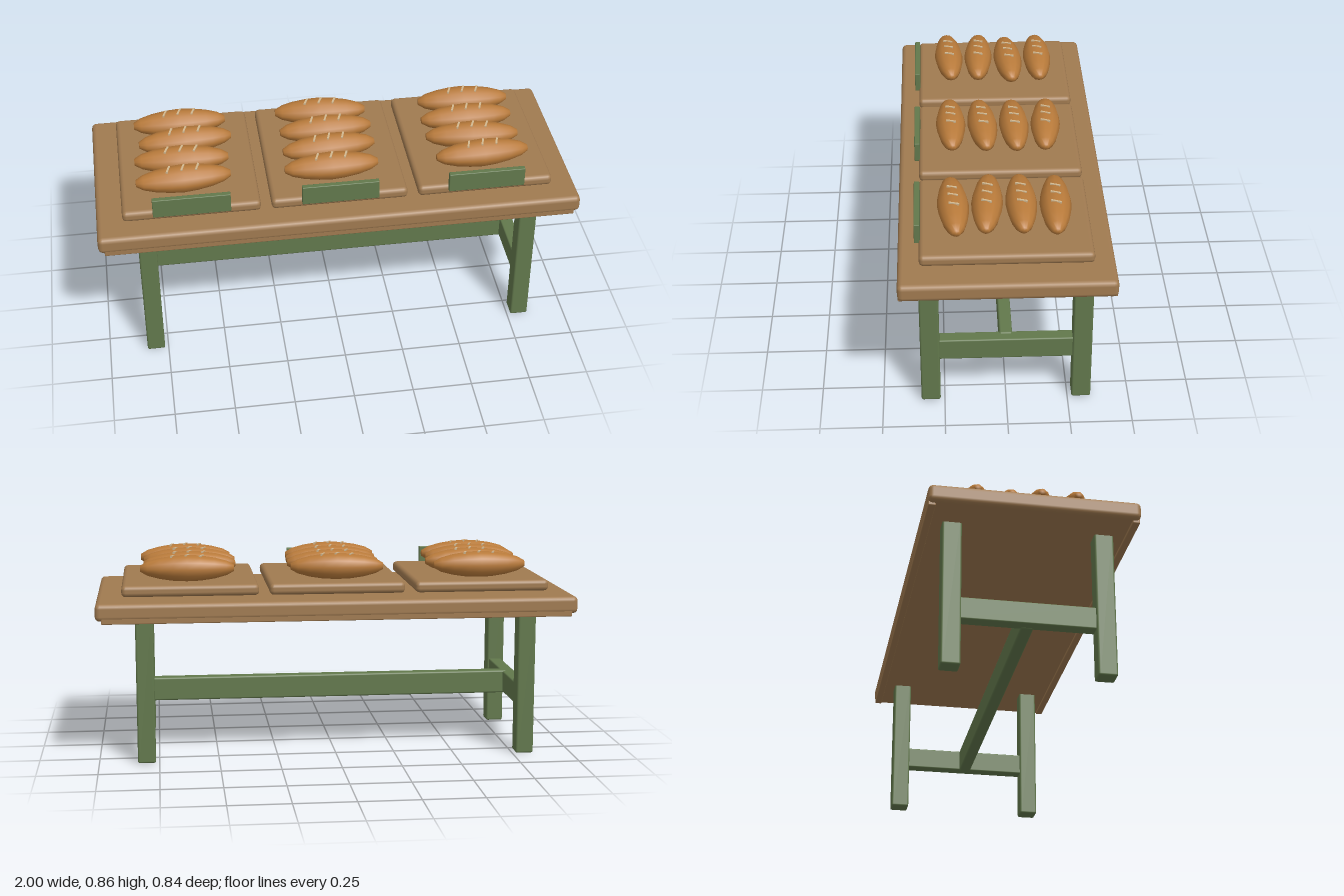
import * as THREE from 'three';
import { RoundedBoxGeometry } from 'three/addons/geometries/RoundedBoxGeometry.js';

const mat = (name, color) => {
  const m = new THREE.MeshStandardMaterial({ color });
  m.name = name;
  return m;
};

export function createModel() {
  const group = new THREE.Group();
  group.name = 'breadTable';
  const wood = mat('wood', 0xa07a50);
  const green = mat('greenPaint', 0x62784c);
  const crust = mat('crust', 0xb87a3a);
  const flour = mat('flouredScore', 0xd2b890);

  // Soft-edged box given by its extents on each axis
  const box = (name, material, [x0, x1], [y0, y1], [z0, z1], r) => {
    const g = new RoundedBoxGeometry(x1 - x0, y1 - y0, z1 - z0, 2, r);
    const m = new THREE.Mesh(g, material);
    m.position.set((x0 + x1) / 2, (y0 + y1) / 2, (z0 + z1) / 2);
    m.name = name;
    group.add(m);
    return m;
  };

  // Table top with a lip under the front and back edges
  box('tableTop', wood, [-1, 1], [0.613, 0.685], [-0.422, 0.422], 0.02);
  for (const s of [-1, 1]) {
    const z = s > 0 ? [0.39, 0.42] : [-0.42, -0.39];
    box('edgeLip', wood, [-0.975, 0.975], [0.602, 0.63], z, 0.004);
  }

  // Trestle ends and long stretcher
  for (const s of [-1, 1]) {
    const x = s > 0 ? [0.765, 0.84] : [-0.84, -0.765];
    box('leg', green, x, [0, 0.62], [0.267, 0.345], 0.008);
    box('leg', green, x, [0, 0.62], [-0.345, -0.267], 0.008);
    box('endRail', green, [s * 0.8 - 0.028, s * 0.8 + 0.028], [0.2, 0.293], [-0.28, 0.28], 0.006);
  }
  box('stretcher', green, [-0.79, 0.79], [0.196, 0.297], [-0.026, 0.026], 0.008);

  // Loaf: faceted spindle lying along x
  const profile = [
    [0, -0.195], [0.015, -0.195], [0.034, -0.165], [0.049, -0.115], [0.059, -0.055], [0.063, 0],
    [0.059, 0.055], [0.049, 0.115], [0.034, 0.165], [0.015, 0.195], [0, 0.195],
  ].map(([r, y]) => new THREE.Vector2(r, y));
  const loafGeo = new THREE.LatheGeometry(profile, 12);
  loafGeo.rotateZ(-Math.PI / 2);
  loafGeo.scale(1, 0.9, 1);
  const scoreGeo = new THREE.BoxGeometry(0.008, 0.008, 0.042);

  const makeLoaf = () => {
    const loaf = new THREE.Group();
    loaf.name = 'loaf';
    const body = new THREE.Mesh(loafGeo, crust);
    body.name = 'loafBody';
    loaf.add(body);
    for (const i of [-1, 0, 1]) {
      const score = new THREE.Mesh(scoreGeo, flour);
      score.name = 'score';
      score.position.set(i * 0.06, 0.0535 - Math.abs(i) * 0.003, 0);
      score.rotation.y = -0.35;
      loaf.add(score);
    }
    return loaf;
  };

  // Trays, each with a sign and four loaves: [x shift, turn], back to front
  const loafPoses = [
    [[-0.01, 0.01], [0.005, 0.06], [-0.02, -0.03], [-0.022, 0.05]],
    [[-0.01, -0.06], [-0.005, 0.03], [-0.01, 0.07], [-0.018, 0.02]],
    [[0.01, -0.03], [-0.002, 0.01], [-0.005, -0.06], [0.01, 0.05]],
  ];
  loafPoses.forEach((poses, t) => {
    const cx = (t - 1) * 0.61;
    box('tray', wood, [cx - 0.283, cx + 0.283], [0.699, 0.746], [-0.338, 0.338], 0.018);
    box('sign', green, [cx - 0.159, cx + 0.159], [0.727, 0.811], [0.333, 0.356], 0.003);
    poses.forEach(([dx, turn], i) => {
      const loaf = makeLoaf();
      loaf.position.set(cx + dx, 0.799, -0.202 + i * 0.1345);
      loaf.rotation.y = turn;
      group.add(loaf);
    });
  });

  return group;
}
